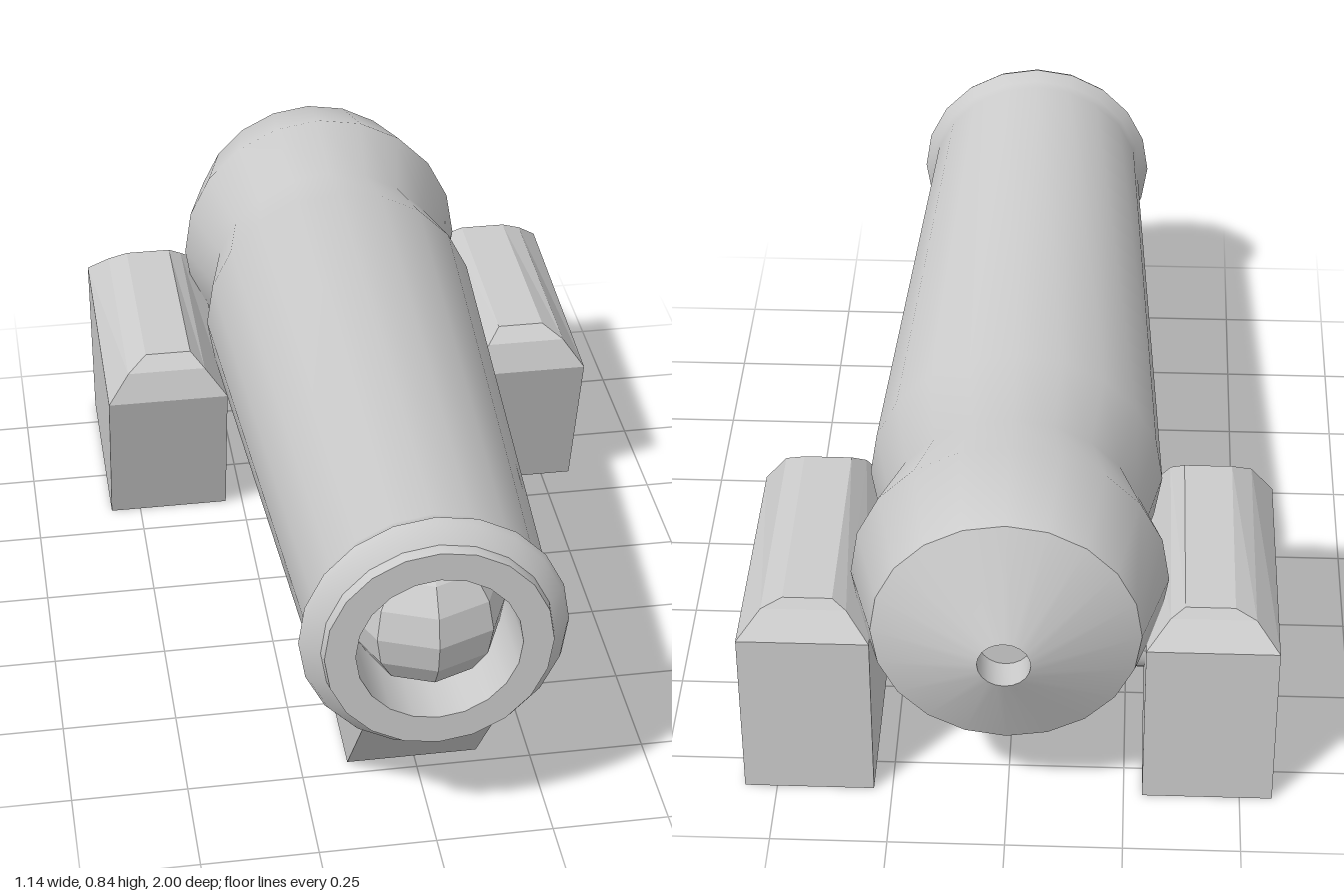
import * as THREE from 'three';
import { toCreasedNormals } from 'three/addons/utils/BufferGeometryUtils.js';

const smooth = new THREE.MeshStandardMaterial({ color: 0xcccccc });
const flat = new THREE.MeshStandardMaterial({ color: 0xcccccc, flatShading: true });

function part(name, geometry, material) {
  const mesh = new THREE.Mesh(geometry, material);
  mesh.name = name;
  return mesh;
}

// Skins a stack of four-cornered rings, bottom to top, and caps both ends.
// Ring: [xMin, xMax, zBack, yBack, zFront, yFront]
function loftRings(rings) {
  const pos = [], index = [];
  for (const [x0, x1, zb, yb, zf, yf] of rings) {
    pos.push(x0, yf, zf, x1, yf, zf, x1, yb, zb, x0, yb, zb);
  }
  for (let r = 0; r < rings.length - 1; r++) {
    for (let i = 0; i < 4; i++) {
      const a = r * 4 + i, b = r * 4 + (i + 1) % 4;
      index.push(a, b, b + 4, a, b + 4, a + 4);
    }
  }
  const t = (rings.length - 1) * 4;
  index.push(0, 2, 1, 0, 3, 2, t, t + 1, t + 2, t, t + 2, t + 3);
  const g = new THREE.BufferGeometry();
  g.setAttribute('position', new THREE.Float32BufferAttribute(pos, 3));
  g.setIndex(index);
  const out = g.toNonIndexed();
  out.computeVertexNormals();
  return out;
}

export function createModel() {
  const model = new THREE.Group();
  model.name = 'cannon';

  // Barrel: one lathe from the dimple at the back to the bottom of the bore
  const profile = [
    [0, -0.93], [0.055, -0.93], [0.055, -1], [0.28, -0.9], [0.335, -0.71],
    [0.28, -0.54], [0.32, -0.36], [0.256, 0.89], [0.262, 0.91], [0.28, 0.935],
    [0.273, 0.95], [0.24, 0.975], [0.236, 1], [0.172, 1], [0.172, 0.5], [0, 0.5],
  ].map(([r, z]) => new THREE.Vector2(r, z));
  const barrelGeometry = toCreasedNormals(new THREE.LatheGeometry(profile, 20).rotateX(Math.PI / 2), 0.7);
  const barrel = part('barrel', barrelGeometry, smooth);
  barrel.position.y = 0.5;
  model.add(barrel);

  // Ball resting in the muzzle
  const ball = part('ball', new THREE.SphereGeometry(0.17, 8, 8), flat);
  ball.position.set(0, 0.5, 0.83);
  model.add(ball);

  // Side blocks with bevelled tops: inner and outer edge, then back and front
  const blockRings = [
    [0.29, 0.57, -0.835, 0, -0.34, 0],
    [0.29, 0.57, -0.835, 0.405, -0.225, 0.375],
    [0.34, 0.52, -0.785, 0.455, -0.245, 0.445],
    [0.37, 0.475, -0.77, 0.475, -0.277, 0.475],
  ];
  for (const side of [1, -1]) {
    const rings = blockRings.map(([inner, outer, ...rest]) =>
      side > 0 ? [inner, outer, ...rest] : [-outer, -inner, ...rest]);
    model.add(part(side > 0 ? 'leftBlock' : 'rightBlock', loftRings(rings), flat));
  }

  // Axle between the blocks
  const axleGeometry = toCreasedNormals(
    new THREE.CylinderGeometry(0.088, 0.088, 0.6, 20).rotateZ(Math.PI / 2), 0.7);
  const axle = part('axle', axleGeometry, smooth);
  axle.position.set(0, 0.262, -0.58);
  model.add(axle);

  // Wedge support under the muzzle
  model.add(part('frontSupport', loftRings([
    [-0.148, 0.136, 0.46, 0.005, 0.718, 0.005],
    [-0.148, 0.136, 0.305, 0.25, 0.93, 0.258],
  ]), flat));

  return model;
}
